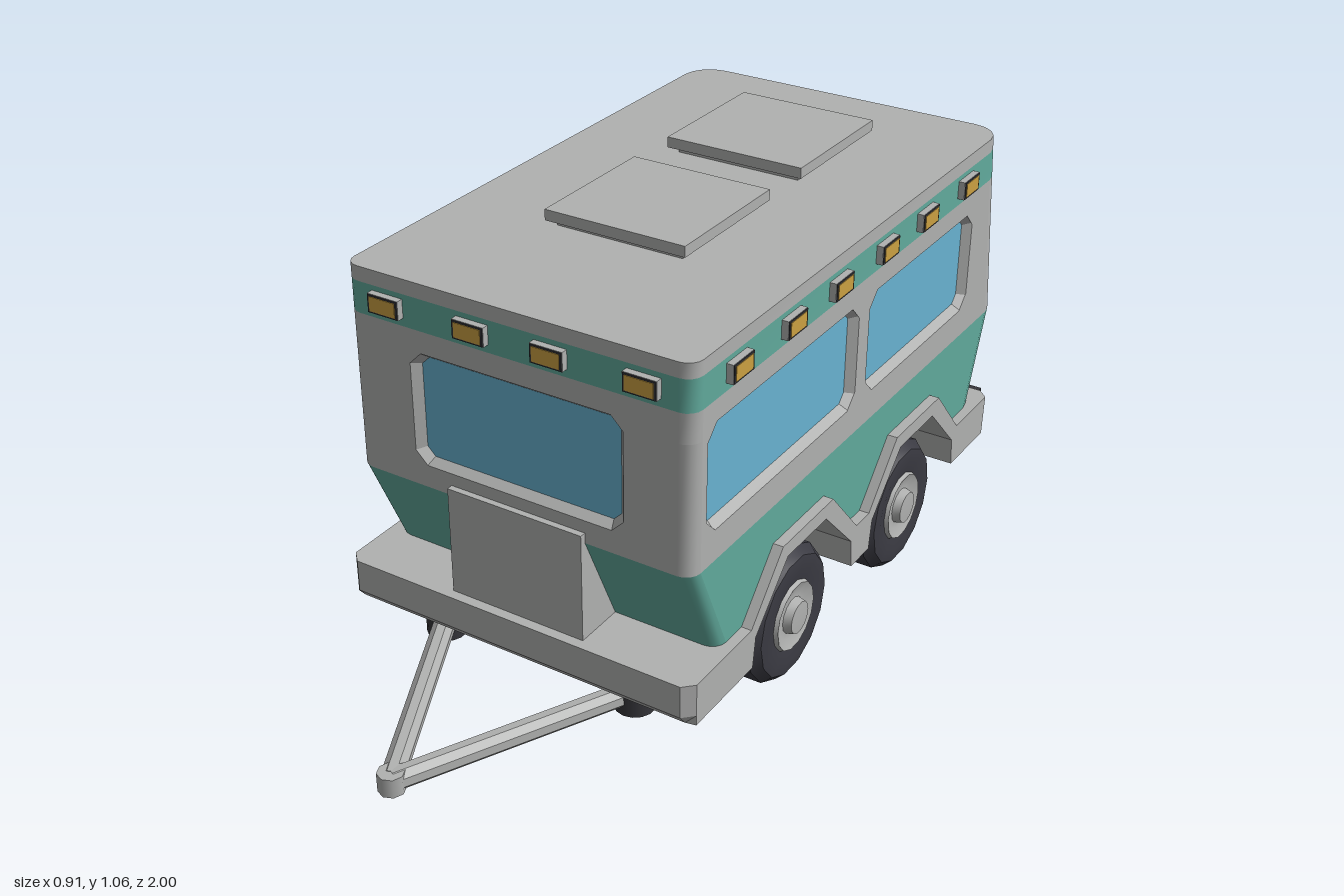
import * as THREE from 'three';
import { toCreasedNormals } from 'three/addons/utils/BufferGeometryUtils.js';

const mat = (name, color) => Object.assign(new THREE.MeshStandardMaterial({ color }), { name });
const grey = mat('pale grey', 0xb0b1b0);
const green = mat('sea green', 0x61aa9c);
const glass = mat('window blue', 0x69b3d1);
const amber = mat('amber', 0xcca142);
const rubber = mat('rubber', 0x3a3a42);
const dark = mat('dark trim', 0x35353a);
const red = mat('tail red', 0xbf3030);

const HALF = 0.43, RF = 0.035, RB = 0.075, FRONT = 0.51, NICHE = 0.19, NICHE_Z = -0.8;
const lerp = THREE.MathUtils.lerp;
const frontZ = y => (y < 0.53 ? lerp(0.4, FRONT, (y - 0.29) / 0.24) : FRONT);
const rearZ = y => (y < 0.53 ? lerp(-0.91, -0.997, (y - 0.29) / 0.24) : lerp(-0.997, -0.93, (y - 0.53) / 0.49));

export function createModel() {
  const model = new THREE.Group();
  model.name = 'camperTrailer';

  const add = (name, geo, material, x = 0, y = 0, z = 0, parent = model) => {
    const mesh = new THREE.Mesh(geo, material);
    mesh.name = name;
    mesh.position.set(x, y, z);
    parent.add(mesh);
    return mesh;
  };
  const box = (name, m, w, h, d, x, y, z, parent) => add(name, new THREE.BoxGeometry(w, h, d), m, x, y, z, parent);

  // Wall between two closed rings of points, leaving out the listed segments
  const loft = (low, high, skip = []) => {
    const p = [];
    low.forEach((a, i) => {
      if (skip.includes(i)) return;
      const j = (i + 1) % low.length;
      [a, high[i], low[j], high[i], high[j], low[j]].forEach(v => p.push(v.x, v.y, v.z));
    });
    const g = new THREE.BufferGeometry();
    g.setAttribute('position', new THREE.Float32BufferAttribute(p, 3));
    g.computeVertexNormals();
    return toCreasedNormals(g, 0.5);
  };

  // Horizontal body section with rounded corners and an optional rear niche
  const ring = (y, niche = false) => {
    const pts = [], zf = frontZ(y), zb = rearZ(y);
    const put = (x, z) => pts.push(new THREE.Vector3(x, y, z));
    const arc = (cx, cz, r, start) => {
      for (let i = 0; i <= 4; i++) {
        const a = start + (i / 4) * Math.PI / 2;
        put(cx + r * Math.cos(a), cz + r * Math.sin(a));
      }
    };
    arc(HALF - RF, zf - RF, RF, 0);
    arc(-HALF + RF, zf - RF, RF, Math.PI / 2);
    arc(-HALF + RB, zb + RB, RB, Math.PI);
    if (niche) [[-NICHE, zb], [-NICHE, NICHE_Z], [NICHE, NICHE_Z], [NICHE, zb]].forEach(q => put(...q));
    arc(HALF - RB, zb + RB, RB, Math.PI * 1.5);
    return pts;
  };

  // Body bands; flat faces with openings are left out and added as panels
  add('lowerBody', loft(ring(0.29, true), ring(0.53, true), [9, 23]), green);
  add('middleBody', loft(ring(0.53, true), ring(0.84, true), [4, 9, 16, 23]), grey);
  add('middleBodyTop', loft(ring(0.84), ring(0.91), [4, 9, 19]), grey);
  add('upperStripe', loft(ring(0.91), ring(0.985)), green);
  add('roofRim', loft(ring(0.985), ring(1.02)), grey);
  const roof = new THREE.ShapeGeometry(new THREE.Shape(ring(1.02).map(p => new THREE.Vector2(p.x, -p.z))));
  add('roof', roof.rotateX(-Math.PI / 2), grey, 0, 1.02, 0);
  box('nicheCeiling', grey, 2 * NICHE, 0.01, 0.152, 0, 0.845, -0.876);

  // Windows: bevelled reveal sunk into an eight-sided opening
  const octagon = (w, h, c, x = 0, y = 0) => {
    const a = w / 2, b = h / 2;
    return [[a, c - b], [a, b - c], [a - c, b], [c - a, b], [-a, b - c], [-a, c - b], [c - a, -b], [a - c, -b]]
      .map(([u, v]) => new THREE.Vector2(x + u, y + v));
  };
  const makeWindow = (name, w, h, x, y, z, turn) => {
    const g = new THREE.Group();
    g.name = name;
    g.position.set(x, y, z);
    g.rotation.y = turn;
    model.add(g);
    const inner = octagon(w - 0.034, h - 0.03, 0.02);
    const at = (pts, d) => pts.map(p => new THREE.Vector3(p.x, p.y, d));
    add('windowFrame', loft(at(inner, -0.02), at(octagon(w, h, 0.03), 0)), grey, 0, 0, 0, g);
    add('windowGlass', new THREE.ShapeGeometry(new THREE.Shape(inner)), glass, 0, 0, -0.02, g);
  };
  const shapeOf = (pts, holes = []) => {
    const s = new THREE.Shape(pts.map(p => new THREE.Vector2(...p)));
    s.holes = holes.map(h => new THREE.Path(h));
    return s;
  };
  const rect = (a, b, c, d) => [[a, c], [b, c], [b, d], [a, d]];

  const fx = HALF - RF;
  add('frontPanel', new THREE.ShapeGeometry(shapeOf(rect(-fx, fx, 0.53, 0.91), [octagon(0.535, 0.272, 0.03, 0, 0.721)])), grey, 0, 0, FRONT);
  makeWindow('frontWindow', 0.535, 0.272, 0, 0.721, FRONT, 0);
  add('nichePanel', new THREE.ShapeGeometry(shapeOf(rect(-NICHE, NICHE, 0.53, 0.84), [octagon(0.34, 0.23, 0.03, 0, 0.675)])), grey, 0, 0, NICHE_Z).rotation.y = Math.PI;
  makeWindow('rearWindow', 0.34, 0.23, 0, 0.675, NICHE_Z, Math.PI);

  // Marker lamp: housing, dark rim and amber lens
  const lamp = (x, z, turn) => {
    const g = new THREE.Group();
    g.name = 'markerLight';
    g.position.set(x, 0.951, z);
    g.rotation.y = turn;
    model.add(g);
    box('lampHousing', grey, 0.08, 0.044, 0.016, 0, 0, 0.008, g);
    box('lampRim', dark, 0.077, 0.042, 0.002, 0, 0, 0.017, g);
    box('lampLens', amber, 0.067, 0.034, 0.002, 0, 0, 0.0185, g);
  };
  [-0.318, -0.098, 0.096, 0.316].forEach(x => lamp(x, FRONT, 0));

  // Wheel arch openings, front to rear
  const archShift = [0, -0.553];
  const bodyCut = archShift.flatMap(d => [[0.25, 0.29], [0.145, 0.395], [-0.03, 0.395], [-0.135, 0.29]].map(([z, y]) => [z + d, y]));
  const lowerSide = [[0.4 - RF, 0.29], ...bodyCut, [-0.91 + RB, 0.29], [-0.997 + RB, 0.53], [FRONT - RF, 0.53]];
  const middleSide = [[FRONT - RF, 0.53], [rearZ(0.53) + RB, 0.53], [rearZ(0.84) + RB, 0.84], [rearZ(0.91) + RB, 0.91], [FRONT - RF, 0.91]];
  const under = archShift.flatMap(d => [[0.29, 0.185], [0.28, 0.26], [0.145, 0.395], [-0.03, 0.395], [-0.165, 0.26], [-0.175, 0.185]].map(([z, y]) => [z + d, y]));
  const over = archShift.flatMap(d => [[0.3, 0.29], [0.17, 0.432], [-0.06, 0.432], [-0.19, 0.29]].map(([z, y]) => [z + d, y])).reverse();
  const noseEnd = [[0.55, 0.29], [0.55, 0.21], [0.53, 0.185]], tailEnd = [[-0.915, 0.185], [-0.945, 0.29]];
  const skirt = [...noseEnd, ...under, ...tailEnd, ...over];

  // Profile in (z, y) extruded outwards along x
  const slab = (name, profile, s, x, depth, chamfer) => {
    const geo = new THREE.ExtrudeGeometry(shapeOf(profile.map(([z, y]) => [-s * z, y])), { depth, bevelEnabled: false });
    if (chamfer) {
      const p = geo.attributes.position;
      for (let i = 0; i < p.count; i++) {
        if (p.getZ(i) > depth / 2) p.setX(i, -s * THREE.MathUtils.clamp(-s * p.getX(i), -0.92, 0.525));
      }
      geo.computeVertexNormals();
    }
    add(name, geo, grey, x).rotation.y = s * Math.PI / 2;
  };
  slab('chassis', [...noseEnd, ...tailEnd], 1, -0.28, 0.56);

  const lathe = (pts, n) => toCreasedNormals(new THREE.LatheGeometry(pts.map(p => new THREE.Vector2(...p)), n), 0.6);
  const tyre = lathe([[0, 0], [0.14, 0], [0.17, 0.025], [0.17, 0.1], [0.15, 0.122], [0.125, 0.125], [0.088, 0.118], [0, 0.112]], 14);
  const hub = lathe([[0.09, 0.112], [0.084, 0.128], [0.06, 0.118], [0.045, 0.118], [0.04, 0.138], [0, 0.14]], 14);
  const windows = [[0.133, 0.645], [-0.513, 0.545]];

  for (const s of [1, -1]) {
    const turn = s * Math.PI / 2;
    const panel = (name, pts, holes, m) => {
      const geo = new THREE.ShapeGeometry(shapeOf(pts.map(([z, y]) => [-s * z, y]), holes));
      add(name, geo, m, s * HALF).rotation.y = turn;
    };
    // Body sides, windows and lamps
    panel('lowerSide', lowerSide, [], green);
    panel('middleSide', middleSide, windows.map(([z, w]) => octagon(w, 0.255, 0.035, -s * z, 0.732)), grey);
    windows.forEach(([z, w]) => makeWindow('sideWindow', w, 0.255, s * HALF, 0.732, z, turn));
    [0.35, 0.13, -0.077, -0.296, -0.5, -0.722].forEach(z => lamp(s * HALF, z, turn));

    // Skirt with wheel arches
    slab('wheelArches', skirt, s, s * 0.28, 0.15);
    slab('skirt', skirt, s, s * HALF, 0.025, true);

    archShift.forEach(d => {
      box('wheelWell', grey, 0.02, 0.13, 0.42, s * 0.27, 0.345, 0.0575 + d);
      const wheel = new THREE.Group();
      wheel.name = 'wheel';
      wheel.position.set(s * 0.305, 0.17, 0.053 + d);
      wheel.rotation.z = -turn;
      model.add(wheel);
      add('tyre', tyre, rubber, 0, 0, 0, wheel);
      add('hub', hub, grey, 0, 0, 0, wheel);
    });

    // Tail lights
    box('tailLightHousing', dark, 0.22, 0.055, 0.055, s * 0.31, 0.253, -0.948);
    [-0.065, 0, 0.065].forEach(o => box('tailLight', o ? red : grey, 0.048, 0.034, 0.006, s * 0.31 + o, 0.253, -0.977));

    // Hitch arm and its mount
    const from = new THREE.Vector3(s * 0.255, 0.148, 0.455), to = new THREE.Vector3(0, 0.148, 0.97);
    const dir = to.clone().sub(from);
    const mid = from.clone().add(to).multiplyScalar(0.5);
    add('hitchArm', toCreasedNormals(new THREE.CylinderGeometry(0.026, 0.026, dir.length(), 8), 0.3), grey, mid.x, mid.y, mid.z)
      .quaternion.setFromUnitVectors(new THREE.Vector3(0, 1, 0), dir.normalize());
    add('hitchMount', new THREE.CylinderGeometry(0.047, 0.047, 0.08, 14), dark, s * 0.257, 0.15, 0.455);
  }
  add('hitchTip', new THREE.CylinderGeometry(0.03, 0.03, 0.046, 8), grey, 0, 0.148, 0.97);

  // Front storage box
  box('storageBox', grey, 0.346, 0.265, 0.13, -0.002, 0.4225, 0.46);

  // Roof vents
  [-0.042, -0.543].forEach(z => {
    box('ventNeck', grey, 0.32, 0.02, 0.315, 0, 1.027, z);
    box('ventLid', grey, 0.357, 0.026, 0.357, 0, 1.048, z);
  });
  return model;
}
